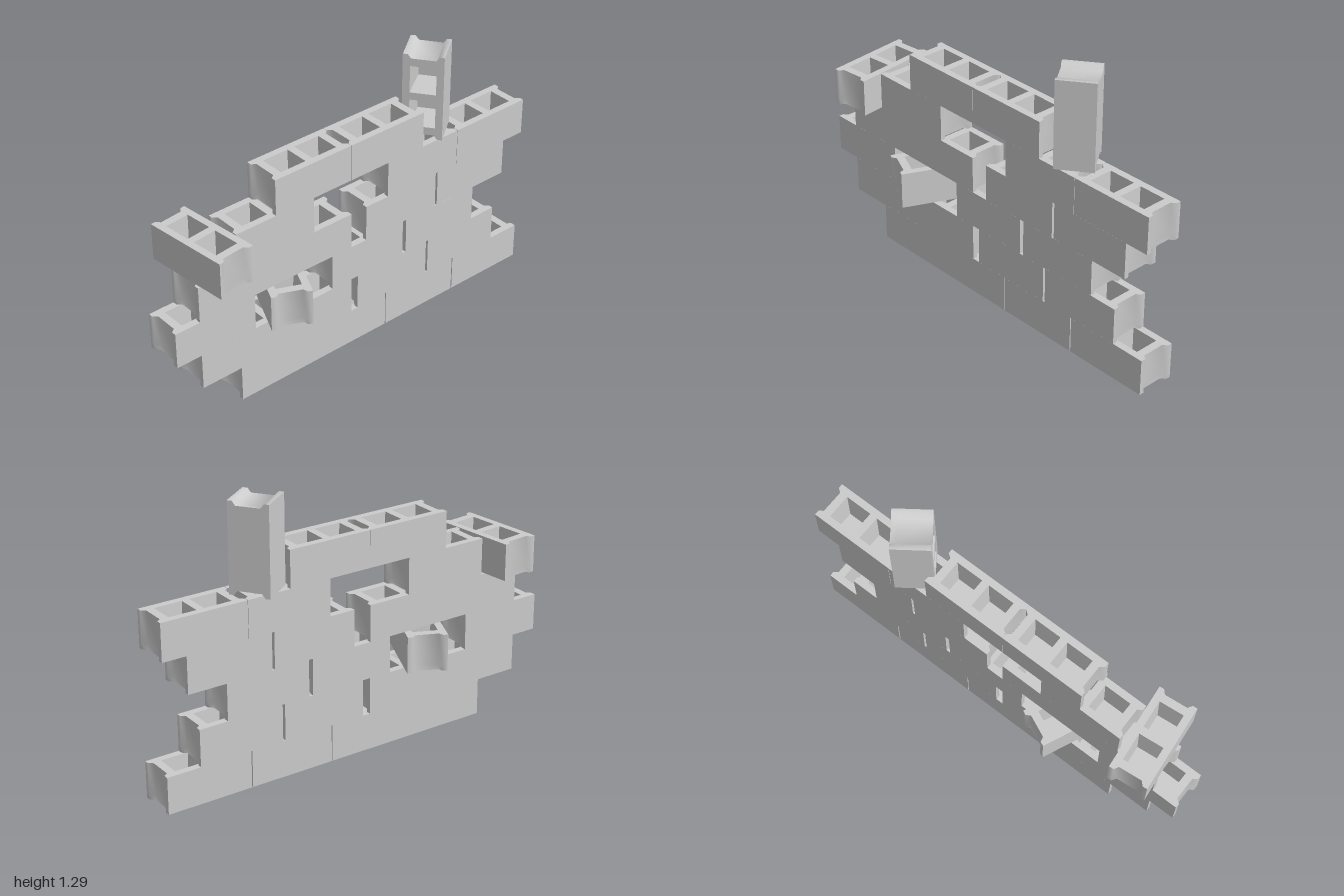
import * as THREE from 'three';
import { mergeGeometries, toCreasedNormals } from 'three/addons/utils/BufferGeometryUtils.js';

const W = 0.185, H = 0.1753, L = 0.415; // block width, height, length
const FLOOR = 0.025;                    // closed base under the pockets
const PX = 0.059, PZ = 0.066, PC = 0.084; // pocket half sizes and centre offset

// Block plan: rectangle with a flared notch in both ends
function outline() {
  const w = W / 2, l = L / 2, d = 0.02;
  const half = [[-w, -l], [-0.07, -l], [-0.055, -l + d], [0.055, -l + d], [0.07, -l], [w, -l]];
  const pts = [...half, ...half.map(([x, y]) => [-x, -y])];
  return new THREE.Shape(pts.map(([x, y]) => new THREE.Vector2(x, y)));
}

function pocketHole(c) {
  return new THREE.Path([[-PX, -PZ], [-PX, PZ], [PX, PZ], [PX, -PZ]]
    .map(([x, y]) => new THREE.Vector2(x, y + c)));
}

function blockGeometry() {
  const base = new THREE.ExtrudeGeometry(outline(), { depth: FLOOR, bevelEnabled: false });
  const walls = outline();
  walls.holes.push(pocketHole(-PC), pocketHole(PC));
  const upper = new THREE.ExtrudeGeometry(walls, { depth: H - FLOOR, bevelEnabled: false });
  // Taper the pockets towards their floors
  const p = upper.attributes.position;
  for (let i = 0; i < p.count; i++) {
    const x = p.getX(i), y = p.getY(i);
    if (p.getZ(i) < 0.001 && Math.abs(x) < 0.06 && Math.abs(y) < 0.17) {
      const c = Math.sign(y) * PC;
      p.setXY(i, x * 0.84, c + (y - c) * 0.86);
    }
  }
  upper.translate(0, 0, FLOOR);
  const geo = mergeGeometries([base, upper]);
  geo.rotateX(-Math.PI / 2).translate(0, -H / 2, 0);
  return toCreasedNormals(geo, 1.1);
}

// Centres along z of the aligned blocks, course by course from the ground
const COURSES = [
  [0.461, 0.047, -0.372, -0.792],
  [0.666, 0.252, -0.201, -0.628],
  [0.792, -0.054, -0.489],
  [0.666, 0.252, -0.249, -0.676],
  [0.462, -0.375, -0.792],
  [0.252, -0.164],
];

export function createModel() {
  const wall = new THREE.Group();
  wall.name = 'brokenBlockWall';
  const geo = blockGeometry();
  const material = new THREE.MeshStandardMaterial({ color: 0xcccccc });
  const courseY = (row) => row * 0.1754 + H / 2;

  function addBlock(parent, name, x, y, z, turn = 0, tip = 0) {
    const block = new THREE.Mesh(geo, material);
    block.name = name;
    block.position.set(x, y, z);
    block.rotation.set(THREE.MathUtils.degToRad(tip), THREE.MathUtils.degToRad(turn), 0, 'YXZ');
    parent.add(block);
  }

  COURSES.forEach((centres, row) => {
    const course = new THREE.Group();
    course.name = `course${row + 1}`;
    centres.forEach((z, i) => addBlock(course, `block${i + 1}`, 0, courseY(row), z));
    wall.add(course);
  });

  // Blocks knocked out of line, and one standing on end
  addBlock(wall, 'twistedBlock', 0, courseY(2), 0.376, 66);
  addBlock(wall, 'crosswiseBlock', 0, courseY(4), 0.776, 95.8);
  addBlock(wall, 'uprightBlock', -0.018, 5 * 0.1754 + L / 2, -0.488, 36, 90);
  return wall;
}
